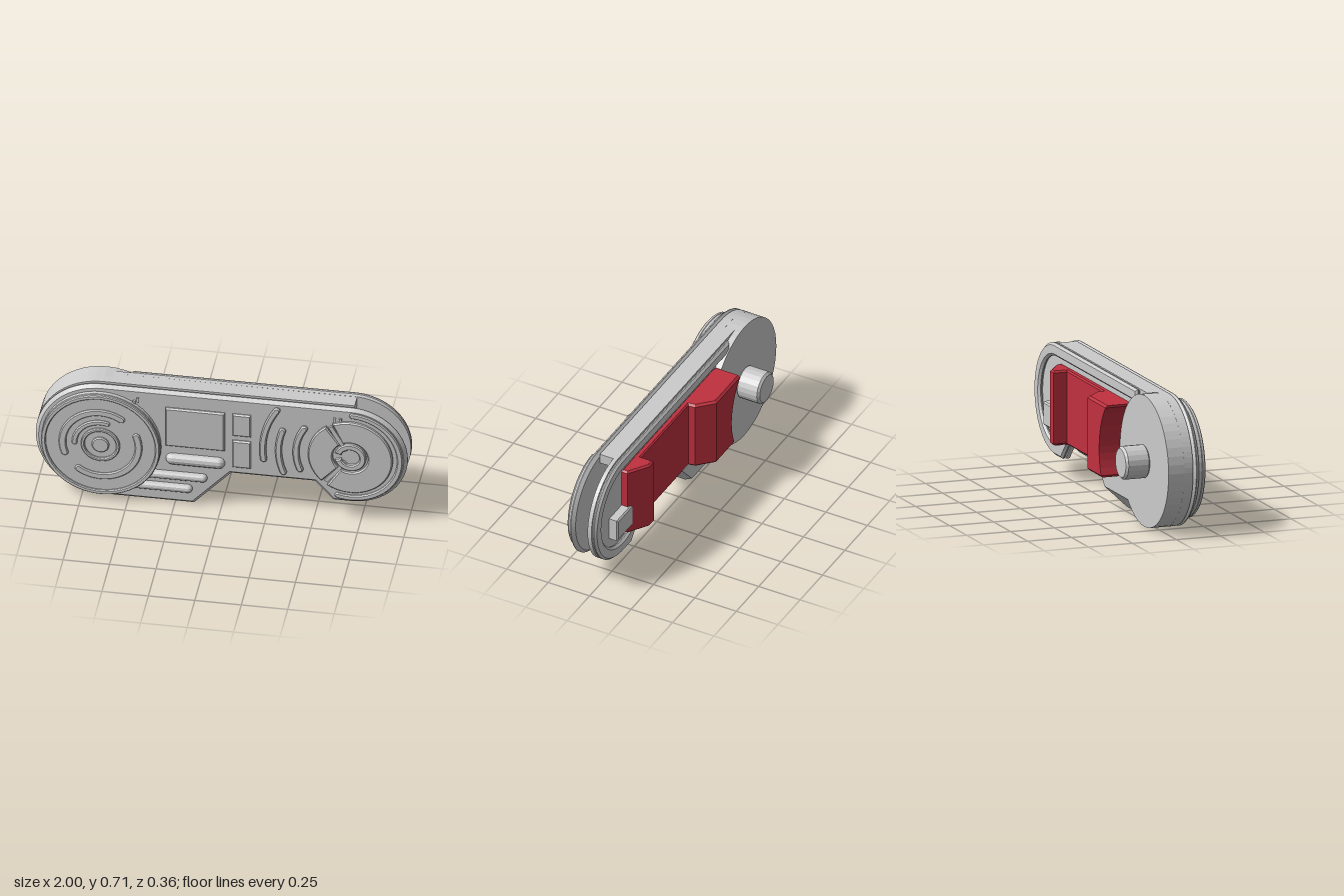
import * as THREE from 'three';

const grey = new THREE.MeshStandardMaterial({ color: 0xcccccc, flatShading: true });
const red = new THREE.MeshStandardMaterial({ color: 0xc0303f, flatShading: true });
const rad = THREE.MathUtils.degToRad;

// Centres of the two round ends
const L = { x: -0.645, y: 0.36, r: 0.357 };
const R = { x: 0.695, y: 0.414, r: 0.304 };

export function createModel() {
  const group = new THREE.Group();

  const add = (name, geo, mat = grey) => {
    const m = new THREE.Mesh(geo, mat);
    m.name = name;
    group.add(m);
    return m;
  };

  // Extrudes a shape from z0 to z1 with a chamfer inside its outline
  const slabGeo = (shape, z0, z1, bevel = 0, curveSegments = 20, steps = 1) =>
    new THREE.ExtrudeGeometry(shape, {
      depth: z1 - z0 - 2 * bevel, bevelEnabled: bevel > 0, bevelThickness: bevel,
      bevelSize: bevel, bevelOffset: -bevel, bevelSegments: 1, curveSegments, steps,
    }).translate(0, 0, z0 + bevel);
  const slab = (name, shape, z0, z1, bevel, mat, seg) =>
    add(name, slabGeo(shape, z0, z1, bevel, seg), mat);

  const poly = pts => new THREE.Shape(pts.map(p => new THREE.Vector2(...p)));
  const rect = (x0, x1, y0, y1) => poly([[x0, y0], [x1, y0], [x1, y1], [x0, y1]]);
  const disc = (x, y, r) => new THREE.Shape().absarc(x, y, r, 0, Math.PI * 2);
  const ring = (x, y, r0, r1) => {
    const s = disc(x, y, r1);
    s.holes.push(new THREE.Path().absarc(x, y, r0, 0, Math.PI * 2, true));
    return s;
  };
  // Curved band between two angles, with square or round ends
  const band = (c, r0, r1, d0, d1, round = true) => {
    const a0 = rad(d0), a1 = rad(d1), rm = (r0 + r1) / 2, h = (r1 - r0) / 2;
    const s = new THREE.Shape();
    s.absarc(c.x, c.y, r1, a0, a1, false);
    if (round) s.absarc(c.x + rm * Math.cos(a1), c.y + rm * Math.sin(a1), h, a1, a1 + Math.PI, false);
    s.absarc(c.x, c.y, r0, a1, a0, true);
    if (round) s.absarc(c.x + rm * Math.cos(a0), c.y + rm * Math.sin(a0), h, a0 + Math.PI, a0 + 2 * Math.PI, false);
    s.closePath();
    return s;
  };

  // Body outline; lower = with the deep left belly, slot = with the right end cut away
  const outline = (lower, slot) => {
    const s = new THREE.Shape();
    if (lower) {
      s.absarc(L.x, L.y, L.r, Math.PI / 2, Math.PI * 1.5, false);
      s.lineTo(-0.15, 0.003);
      s.lineTo(0.05, 0.22);
    } else {
      s.moveTo(-0.6, 0.717);
      s.lineTo(-0.6, 0.22);
    }
    s.lineTo(0.5, 0.22);
    if (slot) {
      s.absarc(0.71, 0.4, 0.26, rad(223), Math.PI / 2, true);
      s.lineTo(0.71, 0.717);
    } else {
      s.lineTo(0.6, 0.11);
      s.absarc(R.x, R.y, R.r, -Math.PI / 2, Math.PI / 2, false);
    }
    s.closePath();
    return s;
  };

  // Body layers: the slot in the right end lies between front and back plates
  slab('frontPlate', outline(true, false), 0.095, 0.135, 0.018);
  slab('bodyCore', outline(true, true), 0.045, 0.095);
  slab('rearCore', outline(false, true), 0.013, 0.045);
  slab('backPlate', outline(false, false), -0.01, 0.013);
  slab('rearDisc', disc(L.x, L.y, L.r), -0.045, 0.045, 0, grey, 24);

  // Raised rim round the rear pocket, open along the bottom
  const rim = new THREE.Shape();
  rim.moveTo(-0.5, 0.717);
  rim.lineTo(-0.5, 0.648);
  rim.absarc(R.x, R.y, 0.234, Math.PI / 2, rad(-130), true);
  rim.lineTo(0.5, 0.22);
  rim.lineTo(0.6, 0.11);
  rim.absarc(R.x, R.y, R.r, -Math.PI / 2, Math.PI / 2, false);
  rim.closePath();
  slab('rearRim', rim, -0.038, -0.01).geometry = slabGeo(rim, -0.038, -0.008, 0.012);

  // Belly wedge with sloping rear underside and slanted end
  const belly = slabGeo(poly([[-0.045, 0.003], [0.045, 0.1], [0.045, 0.22], [-0.045, 0.22]]), 0, 0.495);
  belly.rotateY(Math.PI / 2).translate(-0.645, 0, 0);
  const bp = belly.attributes.position;
  for (let i = 0; i < bp.count; i++) {
    if (bp.getX(i) > -0.3) bp.setX(i, -0.15 + (bp.getY(i) - 0.003) * 0.92);
  }
  belly.computeVertexNormals();
  add('bellyWedge', belly);

  // Rear peg and small pocket block
  slab('rearPeg', disc(L.x, L.y, 0.09), -0.18, -0.04, 0.012, grey, 10);
  slab('pocketBlock', rect(0.63, 0.8, 0.255, 0.385), -0.062, 0, 0.008);

  // Red rear insert: plate and two raised lumps, profiles in x-z swept along y
  const sweep = (pts, y0, y1, bevel, steps) =>
    slabGeo(poly(pts), -y1, -y0, bevel, 8, steps).rotateX(Math.PI / 2);
  add('redPlate', sweep([[-0.37, -0.042], [0.56, -0.042], [0.56, -0.005], [-0.37, -0.005]], 0.208, 0.614, 0.008), red);
  add('redSmallLump', sweep([[0.5, -0.005], [0.5, -0.118], [0.55, -0.118], [0.66, -0.045], [0.66, -0.005]], 0.208, 0.614, 0.01), red);
  const lump = sweep([[-0.385, -0.005], [-0.385, -0.163], [-0.115, -0.163], [-0.03, -0.08], [-0.02, -0.005]], 0.208, 0.614, 0.012, 10);
  const lp = lump.attributes.position;
  for (let i = 0; i < lp.count; i++) { // hollow the side that faces the disc
    if (lp.getX(i) > -0.3) continue;
    const dy = lp.getY(i) - L.y;
    lp.setX(i, lp.getX(i) + L.x + Math.sqrt(0.36 ** 2 - dy * dy) + 0.385);
  }
  lump.computeVertexNormals();
  add('redLargeLump', lump, red);

  // Large front dial with rings and curved ribs
  slab('dialBase', disc(L.x, L.y, 0.322), 0.13, 0.168, 0.008, grey, 24);
  [[0.295, 0.32], [0.085, 0.105]].forEach(([a, b]) =>
    slab('dialRing', ring(L.x, L.y, a, b), 0.16, 0.181, 0.005, grey, 24));
  slab('dialHub', disc(L.x, L.y, 0.047), 0.16, 0.181, 0.006, grey, 12);
  [[0.185, 0.225, 57, 200], [0.185, 0.225, 235, 380], [0.125, 0.155, 75, 180]].forEach(a =>
    slab('dialRib', band(L, ...a), 0.16, 0.178, 0.006, grey, 12));

  // Panels in the middle
  slab('screen', rect(-0.3, 0.02, 0.375, 0.622), 0.13, 0.152, 0.008);
  slab('upperButton', rect(0.06, 0.16, 0.48, 0.622), 0.13, 0.15, 0.008);
  slab('lowerButton', rect(0.06, 0.16, 0.275, 0.45), 0.13, 0.15, 0.008);

  // Rounded bars: capsules half sunk into the front
  [['pill', -0.3, 0.02, 0.29, 0.035], ['upperBar', -0.46, -0.075, 0.185, 0.024], ['lowerBar', -0.5, -0.155, 0.107, 0.024]]
    .forEach(([name, x0, x1, y, r]) => {
      const bar = add(name, new THREE.CapsuleGeometry(r, x1 - x0 - 2 * r, 6, 12).rotateZ(Math.PI / 2));
      bar.position.set((x0 + x1) / 2, y, 0.167 - r);
    });

  // Curved ribs concentric with the right end
  [[0.472, 147, 188], [0.387, 161, 201], [0.293, 148, 202]].forEach(([r, a, b]) =>
    slab('curvedRib', band(R, r - 0.018, r + 0.018, a, b), 0.13, 0.152, 0.007, grey, 10));

  // Split right dial, its hub and outer trim
  slab('dialLeftSector', band(R, 0.095, 0.228, 125, 227, false), 0.13, 0.155, 0.007, grey, 14);
  slab('dialRightSector', band(R, 0.095, 0.228, 237, 475, false), 0.13, 0.155, 0.007, grey, 24);
  slab('rightHub', band(R, 0.05, 0.085, -165, 165, false), 0.13, 0.155, 0.006, grey, 16);
  [120, 232].forEach(d => {
    const spoke = add('spoke', new THREE.BoxGeometry(0.17, 0.022, 0.016));
    spoke.position.set(R.x + 0.13 * Math.cos(rad(d)), R.y + 0.13 * Math.sin(rad(d)), 0.141);
    spoke.rotation.z = rad(d);
  });
  slab('outerTrim', band(R, 0.25, 0.282, -105, 88), 0.13, 0.148, 0.006, grey, 24);

  // Tiny index marks by each dial
  [[-0.47, 0.63], [-0.45, 0.65], [0.61, 0.642], [0.64, 0.642]].forEach(([x, y]) =>
    slab('indexMark', rect(x - 0.007, x + 0.007, y - 0.014, y + 0.014), 0.13, 0.145));

  return group;
}
